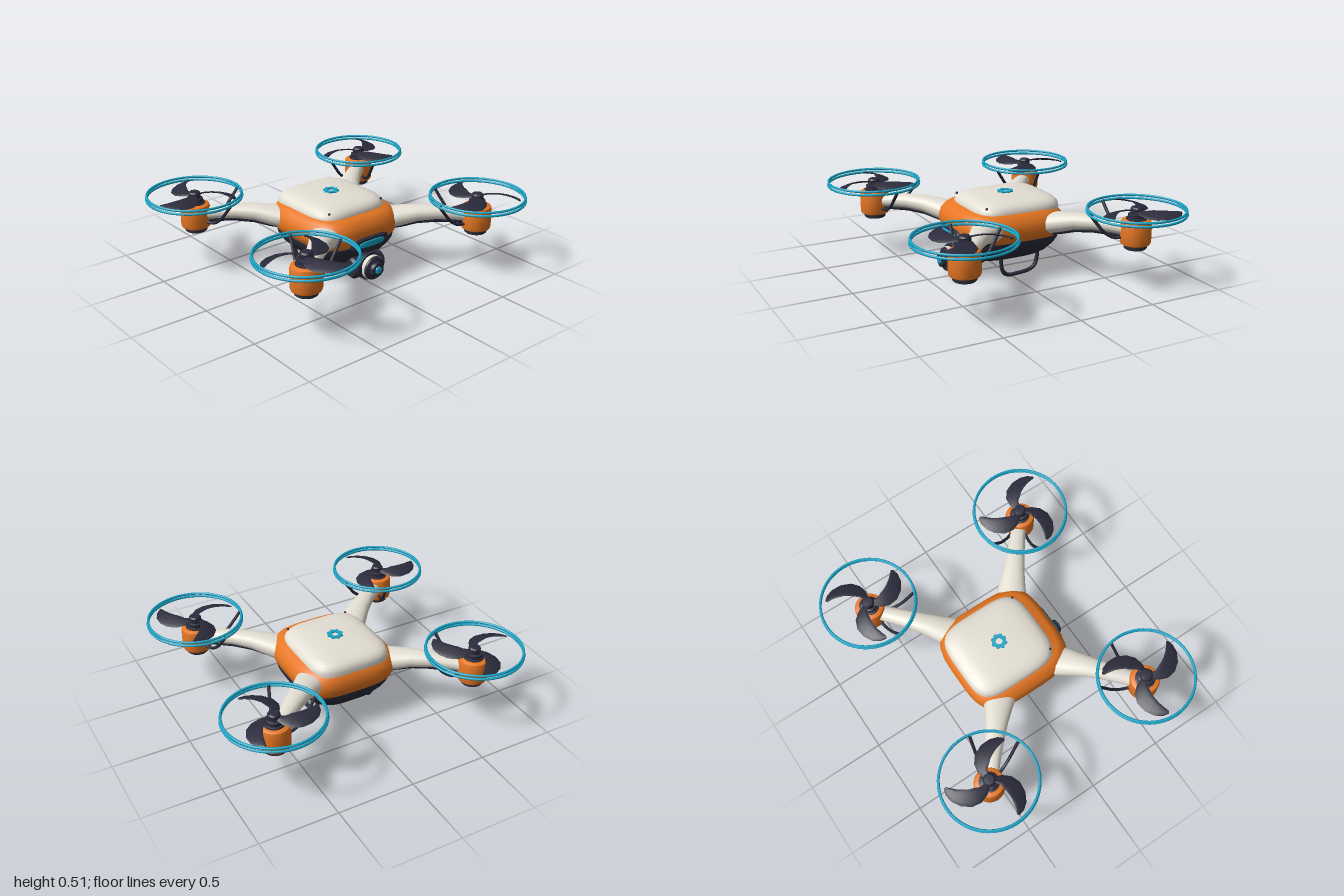
import * as THREE from 'three';
import { toCreasedNormals } from 'three/addons/utils/BufferGeometryUtils.js';

const material = (name, color) => new THREE.MeshStandardMaterial({ name, color });
const orange = material('orange', 0xe77722);
const white = material('warm white', 0xe4dfd3);
const dark = material('dark slate', 0x2b2b3c);
const teal = material('teal', 0x18a4c6);
const grey = material('grey', 0x8f8f92);

const V = (x, y, z) => new THREE.Vector3(x, y, z);

function add(parent, name, geometry, mat, x = 0, y = 0, z = 0) {
  const mesh = new THREE.Mesh(geometry, mat);
  mesh.name = name;
  mesh.position.set(x, y, z);
  parent.add(mesh);
  return mesh;
}

// Closed skin through a list of equal-length rings, capped at both ends
function loft(rings, crease = 0.7) {
  const n = rings[0].length, last = rings.length - 1, pos = [], idx = [];
  rings.forEach(r => r.forEach(p => pos.push(p.x, p.y, p.z)));
  const caps = [rings[0], rings[last]].map(r => {
    const c = r.reduce((s, p) => s.add(p), V(0, 0, 0)).divideScalar(n);
    pos.push(c.x, c.y, c.z);
    return pos.length / 3 - 1;
  });
  for (let j = 0; j < n; j++) {
    const k = (j + 1) % n;
    for (let i = 0; i < last; i++) {
      const a = i * n, b = a + n;
      idx.push(a + j, b + j, b + k, a + j, b + k, a + k);
    }
    idx.push(caps[0], j, k, caps[1], last * n + k, last * n + j);
  }
  const g = new THREE.BufferGeometry();
  g.setAttribute('position', new THREE.Float32BufferAttribute(pos, 3));
  g.setIndex(idx);
  g.computeVertexNormals();
  return toCreasedNormals(g, crease);
}

// Evenly spaced superellipse outline
function outline(n, power, fn) {
  return Array.from({ length: n }, (_, j) => {
    const a = j / n * Math.PI * 2, c = Math.cos(a), s = Math.sin(a);
    const k = Math.pow(Math.abs(c) ** power + Math.abs(s) ** power, -1 / power);
    return fn(c * k, s * k);
  });
}

// Rounded-square hull from rows of [y, half width, half depth]
const hull = (rows, cz, power) => loft(rows.map(([y, hx, hz]) =>
  outline(64, power, (c, s) => V(c * hx, y, cz + s * hz))));

// Rounded plate facing +z from rows of [z, half width, half height]
const plate = rows => loft(rows.map(([z, hx, hy]) =>
  outline(40, 3.5, (c, s) => V(c * hx, -s * hy, z))));

const lathe = pts => toCreasedNormals(
  new THREE.LatheGeometry(pts.map(p => new THREE.Vector2(...p)), 32), 0.6);

const tube = (pts, r) => new THREE.TubeGeometry(
  new THREE.CatmullRomCurve3(pts.map(p => V(...p))), 28, r, 8);

// Arm skin along x from rows of [x, centre y, half height, half width]
const armSkin = rows => loft(rows.map(([x, y, hh, hw]) =>
  outline(28, 2.2, (c, s) => V(x, y + c * hh, -s * hw))));

function buildBody(root) {
  const body = new THREE.Group();
  body.name = 'body';
  root.add(body);
  add(body, 'middleShell', hull([[0.255, 0.305, 0.325], [0.275, 0.322, 0.34], [0.31, 0.335, 0.353],
    [0.35, 0.337, 0.355], [0.385, 0.325, 0.345], [0.415, 0.3, 0.325], [0.435, 0.275, 0.3]], -0.02, 3.8), orange);
  add(body, 'lowerShell', hull([[0.105, 0.1, 0.13], [0.108, 0.155, 0.2], [0.12, 0.195, 0.235], [0.15, 0.245, 0.275],
    [0.2, 0.295, 0.313], [0.235, 0.313, 0.333], [0.262, 0.316, 0.337], [0.27, 0.305, 0.325]], -0.015, 3.4), dark);
  add(body, 'topCover', hull([[0.41, 0.272, 0.292], [0.437, 0.272, 0.292], [0.458, 0.265, 0.286], [0.476, 0.248, 0.27],
    [0.49, 0.218, 0.24], [0.498, 0.17, 0.19], [0.504, 0.09, 0.1]], -0.058, 4.3), white);

  // Scalloped power button
  const gear = new THREE.Shape();
  for (let i = 0; i <= 64; i++) {
    const a = i / 64 * Math.PI * 2, r = 0.047 + 0.005 * Math.cos(a * 8);
    gear[i ? 'lineTo' : 'moveTo'](r * Math.cos(a), r * Math.sin(a));
  }
  gear.holes.push(new THREE.Path().absarc(0, 0, 0.022, 0, Math.PI * 2, true));
  const button = new THREE.ExtrudeGeometry(gear, { depth: 0.012, bevelEnabled: false });
  add(body, 'powerButton', button.rotateX(-Math.PI / 2), teal, 0, 0.5, -0.052);
  for (const s of [-1, 1])
    add(body, 'coverScrew', new THREE.SphereGeometry(0.008, 10, 8), dark, s * 0.21, 0.473, 0.19);

  // Front sensor housing and window
  add(body, 'sensorHousing', plate([[0.27, 0.145, 0.045], [0.335, 0.145, 0.045], [0.348, 0.13, 0.035]]), dark, 0, 0.278);
  add(body, 'sensorWindow', plate([[0.347, 0.1, 0.02], [0.353, 0.1, 0.02], [0.356, 0.095, 0.017]]), teal, 0, 0.281);

  // Landing skids
  for (const s of [-1, 1])
    add(body, 'landingSkid', tube([[0, 0.16, 0.08], [0, 0.08, 0.08], [0, 0.035, 0.065], [0, 0.014, 0.03],
      [0, 0.014, -0.03], [0, 0.025, -0.12], [0, 0.05, -0.16], [0, 0.1, -0.177], [0, 0.16, -0.18]], 0.013), dark, s * 0.197);
}

function buildCamera(root) {
  const cam = new THREE.Group();
  cam.name = 'camera';
  cam.position.set(0, 0.115, 0.283);
  root.add(cam);
  add(cam, 'cameraBall', new THREE.SphereGeometry(0.088, 32, 20), dark);
  add(cam, 'cameraStem', new THREE.CylinderGeometry(0.05, 0.06, 0.1, 24), dark, 0, 0.09, -0.02);
  // Side pivots
  for (const s of [-1, 1]) {
    const pod = add(cam, 'sidePivot', lathe([[0, -0.05], [0.07, -0.05], [0.07, 0.03], [0.055, 0.047], [0, 0.047]]), dark, s * 0.075);
    const ring = add(cam, 'pivotRing', lathe([[0, 0], [0.022, 0], [0.018, 0.006], [0, 0.006]]), grey, s * 0.121);
    const pin = add(cam, 'pivotPin', lathe([[0, 0], [0.009, 0], [0.009, 0.004], [0, 0.004]]), dark, s * 0.125);
    for (const m of [pod, ring, pin]) m.rotation.z = -s * Math.PI / 2;
  }
  // Lens stack, pointing forward
  const stack = [
    ['lensBarrel', [[0, 0.02], [0.09, 0.02], [0.09, 0.06], [0, 0.06]], dark],
    ['lensCollar', [[0, 0.06], [0.078, 0.06], [0.081, 0.066], [0.08, 0.088], [0, 0.088]], white],
    ['lensRim', [[0, 0.088], [0.077, 0.088], [0.073, 0.1], [0.05, 0.11], [0.044, 0.132], [0, 0.132]], dark],
    ['lensGlass', [[0.026, 0.13], [0.023, 0.14], [0.012, 0.146], [0, 0.148]], teal],
  ];
  for (const [name, pts, mat] of stack) add(cam, name, lathe(pts), mat).rotation.x = Math.PI / 2;
}

// One swept blade; turn is +1 or -1 for the two spin directions
function bladeGeometry(turn) {
  const rows = [[0.03, -5, 0.018], [0.07, 0, 0.03], [0.11, 10, 0.046], [0.15, 19, 0.05],
    [0.19, 30, 0.047], [0.225, 40, 0.038], [0.25, 48, 0.025], [0.266, 54, 0.008]];
  const mid = rows.map(([r, a]) => {
    const t = turn * a * Math.PI / 180;
    return V(r * Math.cos(t), 0, r * Math.sin(t));
  });
  return loft(rows.map(([, , w], i) => {
    const d = mid[Math.min(i + 1, 7)].clone().sub(mid[Math.max(i - 1, 0)]).normalize();
    return outline(12, 2, (c, s) => V(mid[i].x - d.z * c * w, s * 0.005 + turn * c * w * 0.35, mid[i].z + d.x * c * w));
  }));
}

function buildRotorArm(root, sx, sz) {
  const arm = new THREE.Group();
  arm.name = `${sz > 0 ? 'front' : 'back'}${sx > 0 ? 'Left' : 'Right'}Arm`;
  arm.position.z = -0.005;
  arm.rotation.y = -Math.atan2(sz * 0.582, sx * 0.688);
  root.add(arm);
  const L = Math.hypot(0.688, 0.582);
  add(arm, 'armShell', armSkin([[0.24, 0.338, 0.064, 0.11], [0.34, 0.342, 0.067, 0.102], [0.42, 0.355, 0.062, 0.087],
    [0.52, 0.373, 0.052, 0.07], [0.64, 0.378, 0.045, 0.058], [0.75, 0.372, 0.042, 0.052], [0.85, 0.362, 0.04, 0.048]]), white);
  add(arm, 'armUnderside', armSkin([[0.28, 0.28, 0.025, 0.04], [0.42, 0.3, 0.024, 0.04], [0.52, 0.324, 0.022, 0.037],
    [0.64, 0.334, 0.022, 0.034], [0.75, 0.33, 0.022, 0.03], [0.85, 0.32, 0.022, 0.028]]), dark);

  // Motor
  const motor = new THREE.Group();
  motor.name = 'motor';
  motor.position.x = L;
  arm.add(motor);
  add(motor, 'motorPod', lathe([[0, 0.268], [0.075, 0.268], [0.09, 0.275], [0.095, 0.29], [0.095, 0.405],
    [0.09, 0.422], [0.075, 0.43], [0, 0.43]]), orange);
  add(motor, 'motorFoot', lathe([[0, 0.242], [0.064, 0.242], [0.071, 0.248], [0.071, 0.275], [0, 0.275]]), dark);
  add(motor, 'motorShaft', lathe([[0.064, 0.42], [0.064, 0.437], [0.052, 0.441], [0.052, 0.462], [0.038, 0.467],
    [0.038, 0.498], [0.03, 0.507], [0, 0.51]]), dark);

  // Propeller, counter-turned to hold its heading
  const prop = new THREE.Group();
  prop.name = 'propeller';
  prop.position.y = 0.482;
  prop.rotation.y = -arm.rotation.y;
  motor.add(prop);
  const blade = bladeGeometry(sx * sz > 0 ? 1 : -1);
  for (let i = 0; i < 3; i++) add(prop, 'blade', blade, dark).rotation.y = i * Math.PI * 2 / 3;

  // Guard hoops and their struts
  for (const [r, y] of [[0.303, 0.474], [0.3, 0.495]])
    add(motor, 'guardHoop', new THREE.TorusGeometry(r, 0.008, 8, 64).rotateX(Math.PI / 2), teal, 0, y);
  for (const s of [-1, 1]) {
    const a = Math.PI + s * Math.PI / 6, c = Math.cos(a), d = Math.sin(a);
    add(motor, 'guardStrut', tube([[0.07, 0.315], [0.14, 0.318], [0.2, 0.355], [0.25, 0.415], [0.298, 0.48]]
      .map(([r, y]) => [r * c, y, r * d]), 0.01), dark);
  }
}

export function createModel() {
  const root = new THREE.Group();
  root.name = 'quadcopter';
  buildBody(root);
  buildCamera(root);
  for (const sx of [-1, 1]) for (const sz of [-1, 1]) buildRotorArm(root, sx, sz);
  return root;
}
